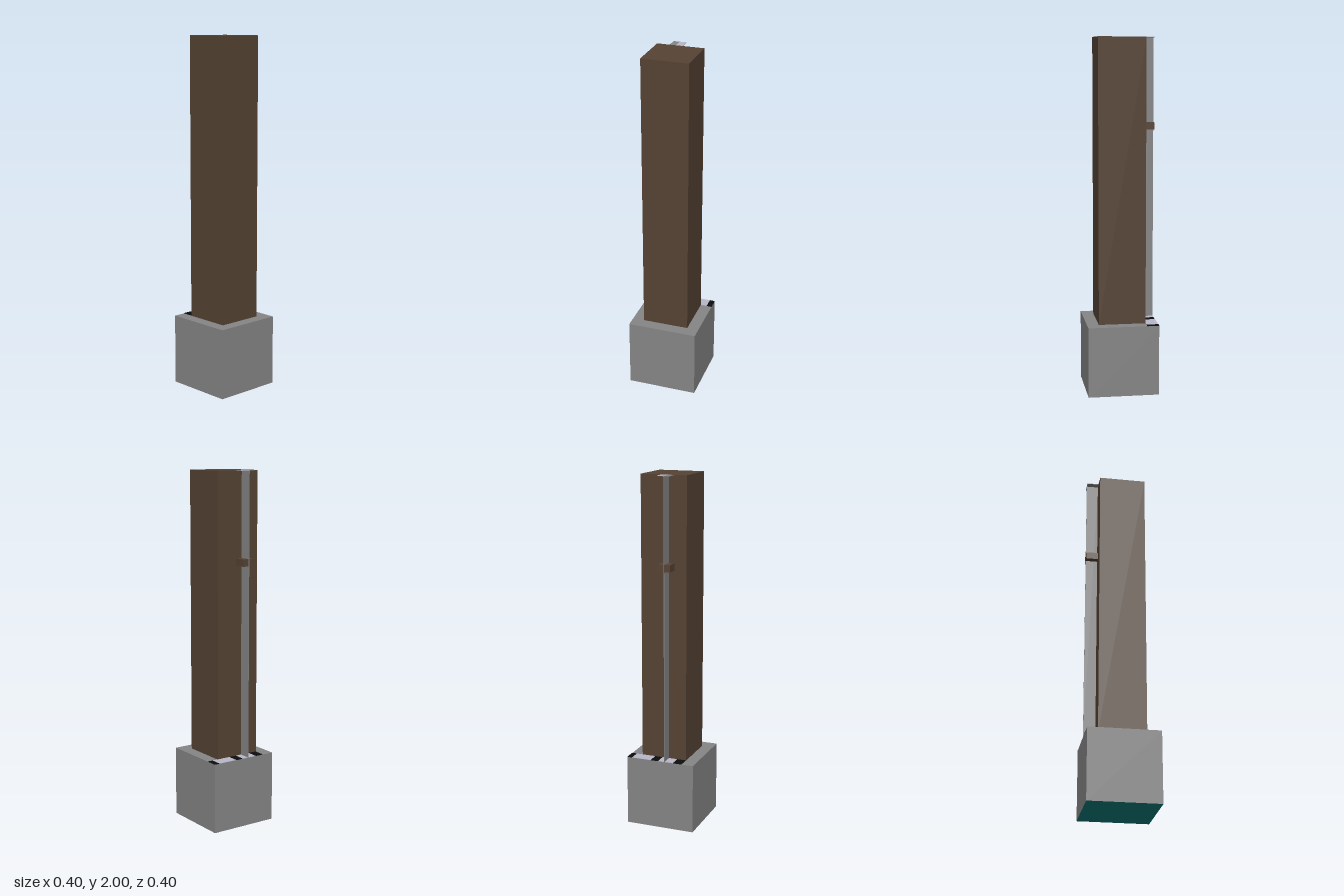
import * as THREE from 'three';

const material = (name, color) => {
  const m = new THREE.MeshStandardMaterial({ color });
  m.name = name;
  return m;
};

export function createModel() {
  const group = new THREE.Group();
  const stone = material('stone grey', 0x868686);
  const wood = material('dark brown', 0x564334);
  const teal = material('teal', 0x088080);
  const pale = material('pale lavender', 0xb9b7c9);
  const black = material('black', 0x0d0d0d);

  // Box given by its lower and upper limits on each axis
  const box = (name, mat, [x0, x1], [y0, y1], [z0, z1]) => {
    const mesh = new THREE.Mesh(new THREE.BoxGeometry(x1 - x0, y1 - y0, z1 - z0), mat);
    mesh.position.set((x0 + x1) / 2, (y0 + y1) / 2, (z0 + z1) / 2);
    mesh.name = name;
    group.add(mesh);
  };

  // Square base with a teal underside, and the tall post on it
  box('base', [stone, stone, stone, teal, stone, stone], [-0.2, 0.2], [0, 0.4], [-0.2, 0.2]);
  box('post', wood, [-0.133, 0.133], [0.4, 2], [-0.133, 0.133]);

  // Thin upright fin on the post's right side, with its bracket and flat cap
  const side = [-0.2, -0.133];
  box('fin', stone, side, [0.4, 1.997], [0.026, 0.03]);
  box('bracket', wood, side, [1.485, 1.525], [-0.01, 0.062]);
  box('capBack', pale, side, [1.997, 2], [-0.01, 0.028]);
  box('capFront', stone, side, [1.997, 2], [0.028, 0.062]);

  // Black and pale bands painted along the base beside the post
  const edges = [-0.2, -0.17, -0.055, -0.01, 0.08, 0.131];
  for (let i = 0; i < edges.length - 1; i++) {
    box('baseBand', i % 2 ? pale : black, side, [0.4, 0.402], [edges[i], edges[i + 1]]);
  }
  return group;
}
